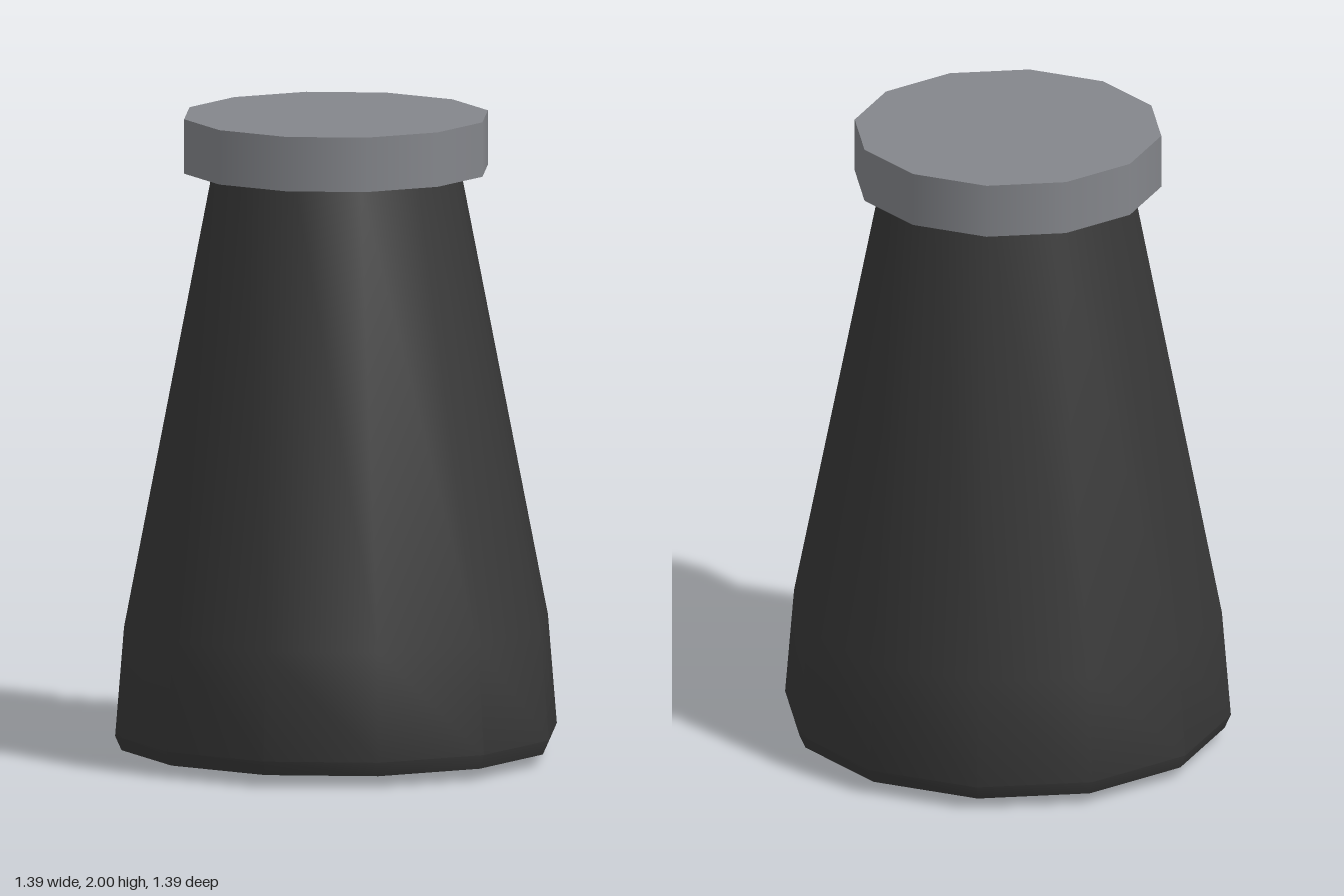
import * as THREE from 'three';
import { toCreasedNormals } from 'three/addons/utils/BufferGeometryUtils.js';

const SIDES = 12;

export function createModel() {
  const model = new THREE.Group();
  model.name = 'shaker';

  const add = (name, geometry, color, y = 0) => {
    const mesh = new THREE.Mesh(geometry, new THREE.MeshStandardMaterial({ color }));
    mesh.name = name;
    mesh.position.y = y;
    model.add(mesh);
  };

  // Tapered body: shallow cone underneath, small bevel, flared foot, long taper to the neck
  const profile = [
    [0, 0], [0.675, 0.035], [0.695, 0.08], [0.667, 0.42], [0.39, 1.83],
  ].map(([r, y]) => new THREE.Vector2(r, y));
  const body = new THREE.LatheGeometry(profile, SIDES);
  add('body', toCreasedNormals(body, 0.62), 0x383838);

  // Flat lid overhanging the neck
  const lidHeight = 0.17;
  add('lid', new THREE.CylinderGeometry(0.478, 0.478, lidHeight, SIDES), 0x84868b, 2 - lidHeight / 2);

  return model;
}
